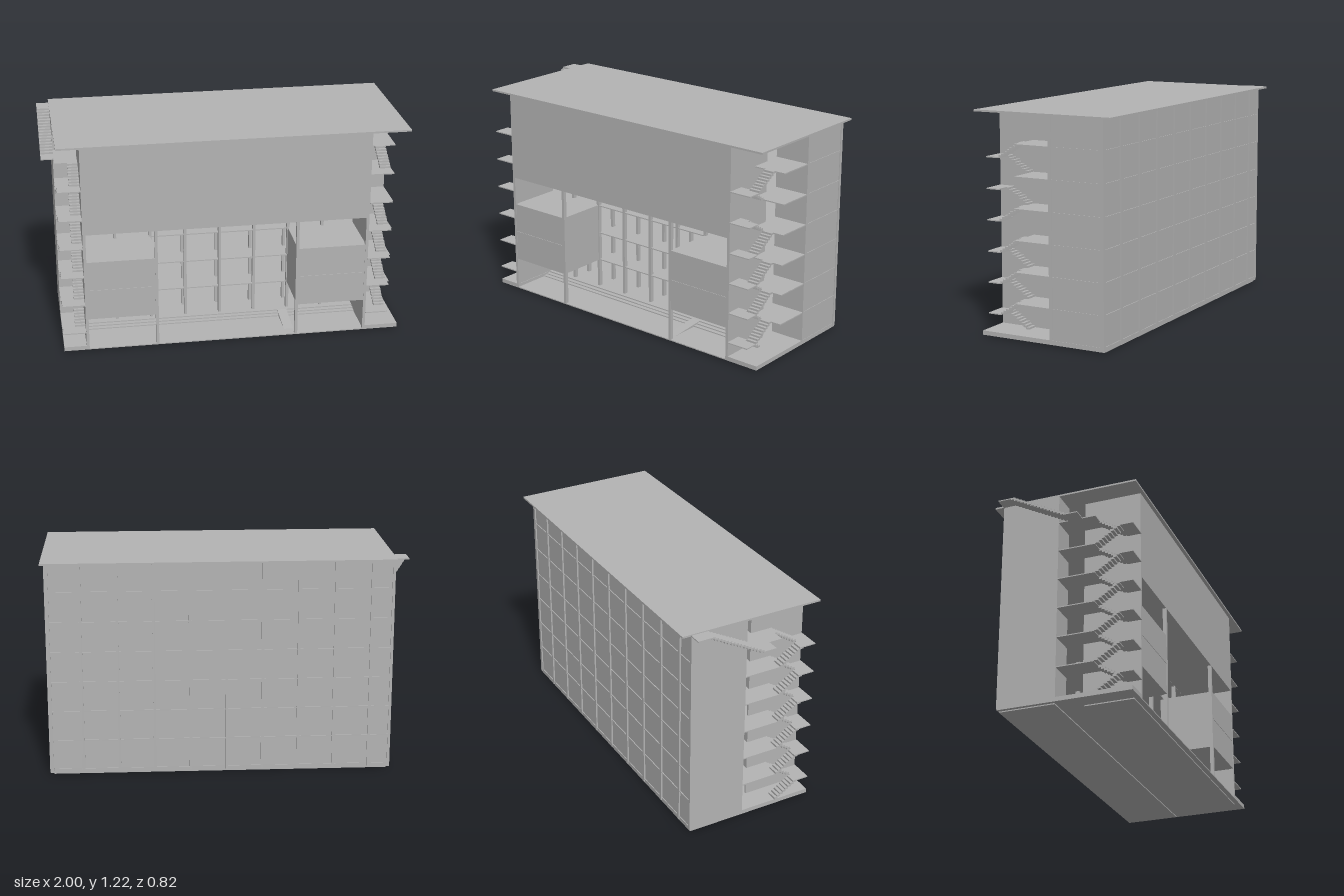
import * as THREE from 'three';

export function createModel() {
  const model = new THREE.Group();
  const concrete = new THREE.MeshStandardMaterial({ color: 0xb3b3b3 });

  const group = (name) => {
    const g = new THREE.Group();
    g.name = name;
    model.add(g);
    return g;
  };
  // Box given by its limits on each axis
  const box = (parent, name, x0, x1, y0, y1, z0, z1) => {
    const m = new THREE.Mesh(new THREE.BoxGeometry(x1 - x0, y1 - y0, z1 - z0), concrete);
    m.position.set((x0 + x1) / 2, (y0 + y1) / 2, (z0 + z1) / 2);
    m.name = name;
    parent.add(m);
  };

  const levels = [0.03, 0.2, 0.37, 0.54, 0.71, 0.88, 1.05];
  const T = 0.006; // slab thickness
  const top = 1.21;
  const L = -0.93, R = 0.98; // ends of the building
  const l = -0.805, r = 0.79; // ends of the front block
  const back = -0.355, gallery = -0.03, front = 0.39, mid = 0.07;

  // Ground: footing plates, base, and steps down to the sunken forecourt
  const ground = group('ground');
  box(ground, 'frontFooting', L + 0.1, R - 0.1, 0, 0.007, 0.09, 0.36);
  box(ground, 'backFooting', L + 0.02, R - 0.02, 0, 0.007, -0.35, -0.04);
  box(ground, 'base', L, R, 0.006, 0.012, back, front);
  box(ground, 'platform', L, R, 0.012, 0.03, back, 0.12);
  box(ground, 'lowStep', l, r, 0.012, 0.018, 0.12, 0.17);
  box(ground, 'highStep', l, r, 0.018, 0.024, 0.12, 0.145);
  box(ground, 'leftStairBase', L, l + 0.015, 0.012, 0.03, 0.12, front);
  box(ground, 'rightStairBase', r - 0.01, R, 0.012, 0.03, 0.12, front);
  const ramp = new THREE.Shape([[0.12, 0.012], [0.33, 0.012], [0.12, 0.03]].map((p) => new THREE.Vector2(...p)));
  const rampMesh = new THREE.Mesh(new THREE.ExtrudeGeometry(ramp, { depth: 0.055, bevelEnabled: false }), concrete);
  rampMesh.rotation.y = -Math.PI / 2;
  rampMesh.position.x = 0.385;
  rampMesh.name = 'ramp';
  ground.add(rampMesh);

  // Roof
  box(model, 'roof', L, 1.0, top, 1.22, -0.41, 0.41);

  // Floors of the rear wing and the gallery
  const floors = group('floors');
  for (const y of levels.slice(1)) {
    box(floors, 'floor', L + 0.002, R + 0.001, y - T, y, back - 0.001, mid + 0.02);
  }

  // Rear wing: outer walls and pillars
  const rear = group('rearWing');
  box(rear, 'backWall', L, R - 0.004, 0.012, top, back + 0.004, back + 0.014);
  box(rear, 'leftEndWall', L, L + 0.01, 0.012, top, back, gallery);
  box(rear, 'rightEndWall', R - 0.014, R - 0.002, 0.012, top, back + 0.004, gallery);
  box(rear, 'leftGalleryWall', L, l + 0.015, 0.03, top, gallery - 0.01, gallery);
  box(rear, 'rightGalleryWall', r - 0.01, R - 0.002, 0.03, top, gallery - 0.01, gallery);
  for (const z of [back - 0.003, gallery - 0.018]) {
    box(rear, 'rightCornerPillar', R - 0.02, R + 0.002, 0.012, top, z, z + 0.018);
  }
  box(rear, 'leftCornerPillar', L, L + 0.015, 0.012, top, back - 0.003, back + 0.015);
  for (let i = -4; i <= 4; i++) {
    const x = i * 0.2 - 0.007;
    box(rear, 'backPillar', x - 0.008, x + 0.008, 0.012, top, back - 0.005, back + 0.015);
    box(rear, 'galleryPillar', x - 0.008, x + 0.008, 0.03, top, gallery - 0.022, gallery);
    if (Math.abs(i) < 4) box(rear, 'frontGalleryPillar', x - 0.008, x + 0.008, 0.03, top, mid, mid + 0.022);
  }

  // Front block: side walls and the closed upper hall
  const hall = group('frontBlock');
  box(hall, 'leftSideWall', l, l + 0.012, 0.012, top, mid, front);
  box(hall, 'rightSideWall', r - 0.012, r, 0.012, top, mid, front);
  box(hall, 'upperHall', l + 0.002, r - 0.002, 0.705, top, mid, front);

  // Two raised rooms with open terraces above them
  const rooms = [[l + 0.01, -0.405], [0.39, r - 0.01]];
  for (const [x0, x1] of rooms) {
    box(hall, 'raisedRoomLower', x0, x1, 0.2 - T, 0.369, mid, front - 0.002);
    box(hall, 'raisedRoomUpper', x0, x1, 0.372, 0.54, mid, front - 0.002);
    box(hall, 'raisedRoomJoint', x0, x1, 0.368, 0.373, mid, front - 0.005);
  }
  for (const x of [l + 0.008, -0.405, 0.387, r - 0.008]) {
    box(hall, 'frontPillar', x - 0.008, x + 0.008, 0.012, 0.71, front - 0.02, front);
  }

  // Half flight of thin steps between two heights and depths
  const flight = (parent, x0, x1, y0, y1, z0, z1, n) => {
    const dy = (y1 - y0) / n, dz = (z1 - z0) / n;
    for (let i = 0; i < n; i++) {
      const a = z0 + i * dz, b = a + dz * 1.25;
      const y = y0 + (i + 1) * dy;
      box(parent, 'step', x0, x1, y - Math.abs(dy) * 1.1, y, Math.min(a, b), Math.max(a, b));
    }
  };

  // End stairs: floor landings, half landings and flights
  const stairs = (name, inner, s, floorEnd, skipDown, skipUp) => {
    const g = group(name);
    const span = (a, b) => [inner + s * a, inner + s * b].sort((p, q) => p - q);
    const nearLane = span(0, 0.06), farLane = span(0.068, 0.128);
    const half = span(0, 0.128), full = span(-0.005, floorEnd);
    levels.forEach((y, i) => {
      if (i > 0) box(g, 'floorLanding', ...full, y - T, y, gallery, 0.18);
      if (i === levels.length - 1) return;
      const h = y + 0.085;
      box(g, 'halfLanding', ...half, h - T, h, 0.315, front + 0.003);
      const [low, high] = s > 0 ? [nearLane, farLane] : [farLane, nearLane];
      if (!skipDown.includes(i)) flight(g, ...low, y, h, 0.18, 0.315, 8);
      if (!skipUp.includes(i)) flight(g, ...high, h, levels[i + 1], 0.315, 0.18, 8);
    });
    return g;
  };
  stairs('rightStairs', r, 1, 0.19, [3], [4]);
  stairs('leftStairs', l + 0.003, -1, 0.128, [], []);

  // Outer stair up to the roof
  const roofStair = group('roofStair');
  box(roofStair, 'lowerLanding', -1, L + 0.002, 1.05 - T, 1.05, 0.025, 0.105);
  flight(roofStair, -1, L, 1.05, 1.215, 0.03, -0.28, 16);
  box(roofStair, 'upperLanding', -1, L, 1.209, 1.215, -0.36, -0.28);

  return model;
}
